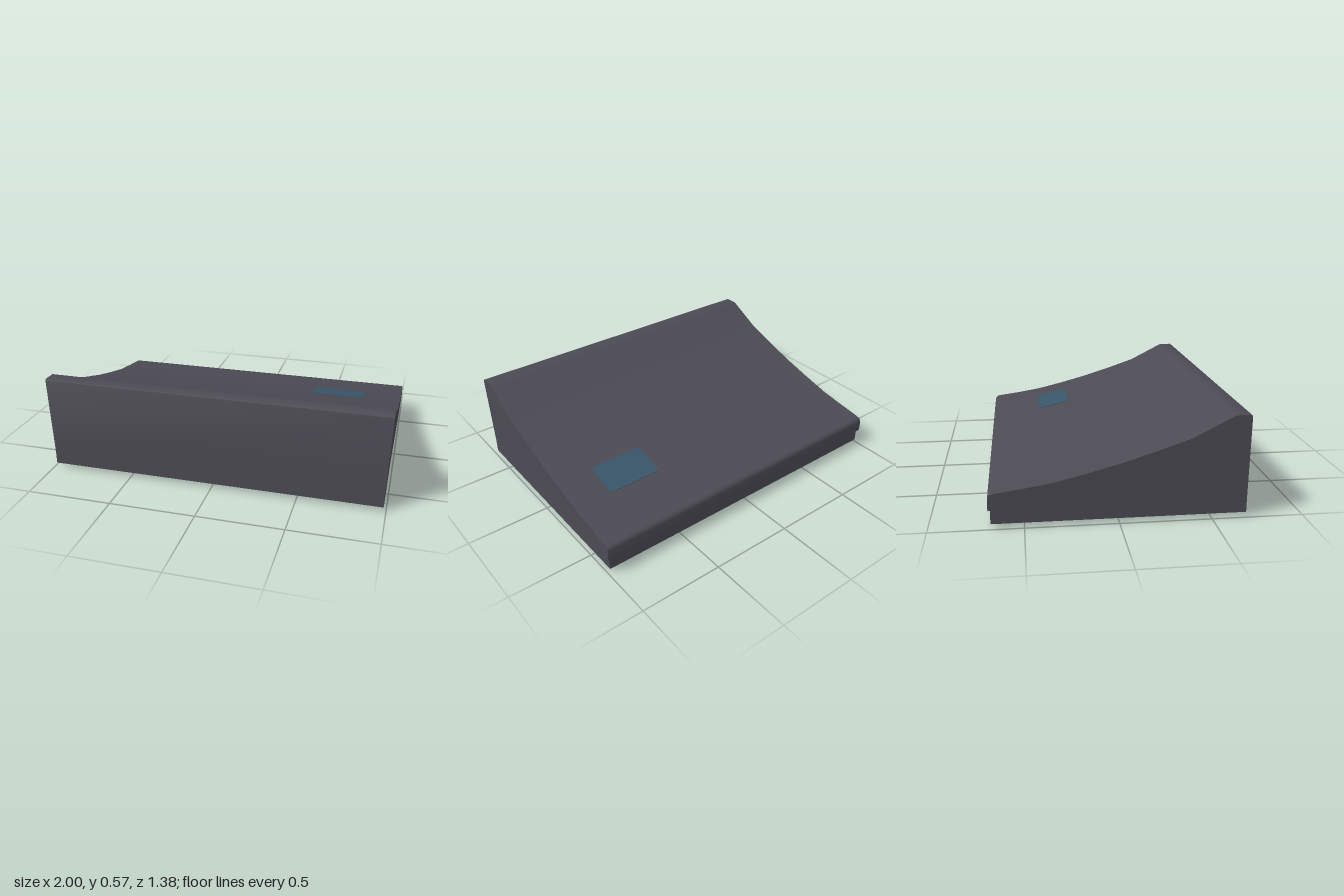
import * as THREE from 'three';
import { toCreasedNormals } from 'three/addons/utils/BufferGeometryUtils.js';

// Extrudes a [z, y] outline along x, centred on x = 0
function extrudeAcross(points, width) {
  const shape = new THREE.Shape(points.map(([z, y]) => new THREE.Vector2(-z, y)));
  const geo = new THREE.ExtrudeGeometry(shape, { depth: width, bevelEnabled: false });
  geo.translate(0, 0, -width / 2);
  geo.rotateY(Math.PI / 2);
  return geo;
}

export function createModel() {
  const model = new THREE.Group();
  const casing = new THREE.MeshStandardMaterial({ name: 'charcoal casing', color: 0x4c4b54 });
  const glass = new THREE.MeshStandardMaterial({ name: 'dark blue display', color: 0x38566a });

  const add = (name, geo, material, x = 0, y = 0, z = 0) => {
    const mesh = new THREE.Mesh(geo, material);
    mesh.name = name;
    mesh.position.set(x, y, z);
    model.add(mesh);
  };

  // Wedge shell: tall front, concave sloping top, rounded low back lip
  const shell = extrudeAcross([
    [0.69, 0.105], [0.69, 0.565], [0.687, 0.572], [0.68, 0.575], [0.605, 0.574], [0.585, 0.565],
    [0.38, 0.46], [0.2, 0.398], [0.01, 0.338], [-0.17, 0.289], [-0.35, 0.245],
    [-0.5, 0.22], [-0.655, 0.198], [-0.673, 0.192], [-0.683, 0.182], [-0.687, 0.168],
    [-0.687, 0.105],
  ], 2);
  // Draw the lower front corners in to meet the narrower base
  const pos = shell.attributes.position;
  for (let i = 0; i < pos.count; i++) {
    if (pos.getZ(i) > 0.68 && pos.getY(i) < 0.2) pos.setX(i, pos.getX(i) * 0.986);
  }
  add('shell', toCreasedNormals(shell, 0.6), casing);

  // Base tray, flush at the front and inset at the sides and back
  add('base', new THREE.BoxGeometry(1.972, 0.08, 1.365), casing, 0, 0.065, 0.0075);

  // Display plate following the slope
  add('display', extrudeAcross([
    [-0.165, 0.286], [-0.165, 0.293], [-0.35, 0.248], [-0.37, 0.2447], [-0.37, 0.238],
  ], 0.335), glass, 0.6);

  // Four tapered feet
  for (const x of [-0.865, 0.865]) {
    for (const z of [-0.597, 0.6]) {
      add('foot', new THREE.CylinderGeometry(0.025, 0.015, 0.027, 16), casing, x, 0.0135, z);
    }
  }
  return model;
}
